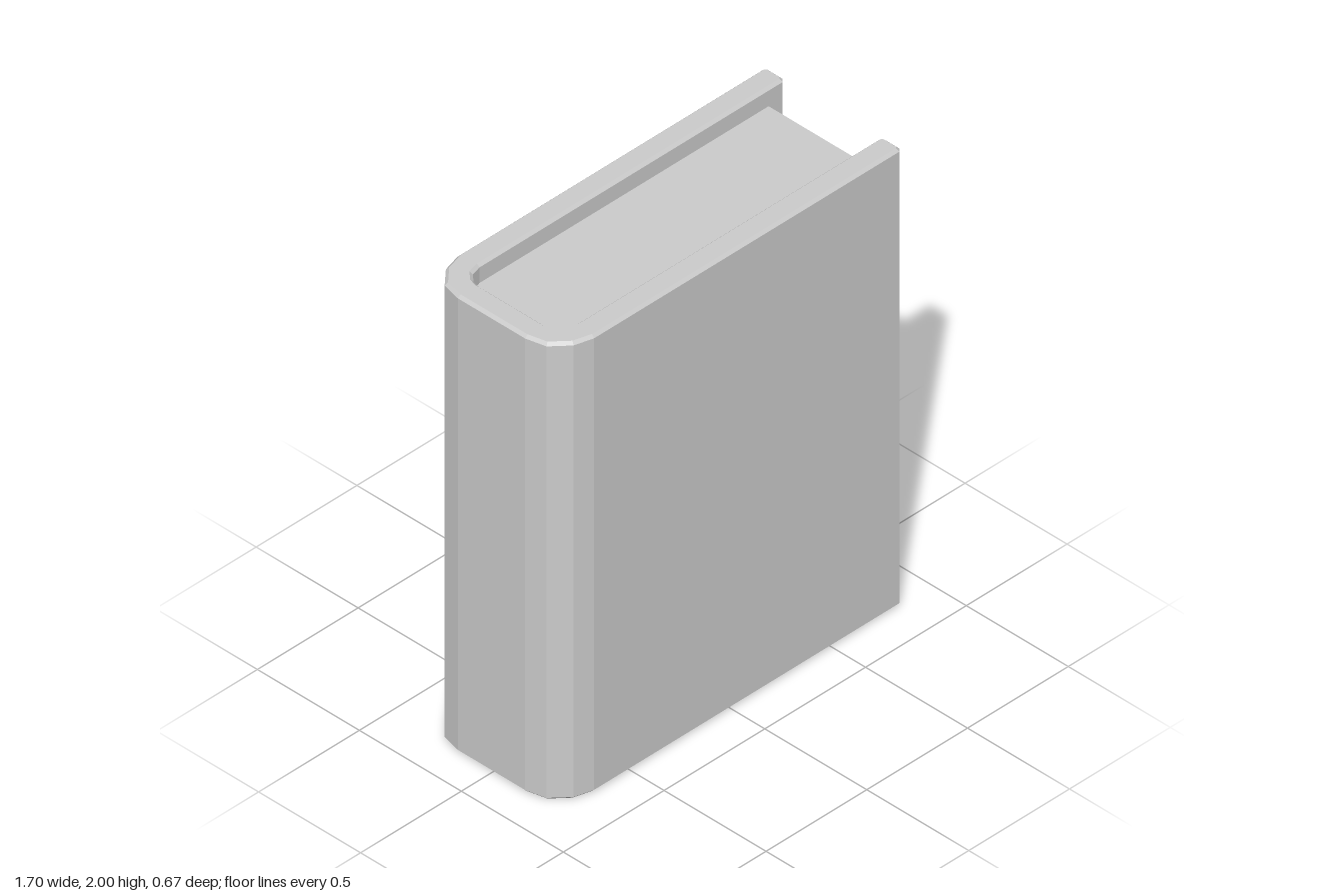
import * as THREE from 'three';

export function createModel() {
  const book = new THREE.Group();
  book.name = 'book';
  const material = new THREE.MeshStandardMaterial({ color: 0xcccccc, flatShading: true });

  // Cover: U-shaped section with a faceted spine, swept up the height.
  // Half of the outline, from the middle of the spine to the fore edge and back.
  const half = [
    [-0.85, 0.165], [-0.83, 0.25], [-0.76, 0.313], [-0.68, 0.335],
    [0.835, 0.335], [0.848, 0.322], [0.848, 0.25], [0.835, 0.237],
    [-0.67, 0.237], [-0.715, 0.225], [-0.742, 0.195], [-0.752, 0.165],
  ];
  const mirrored = half.map(([x, z]) => [x, -z]).reverse();
  const outline = [...half, ...mirrored].map(([x, z]) => new THREE.Vector2(x, z));
  const bevel = 0.012;
  const coverGeometry = new THREE.ExtrudeGeometry(new THREE.Shape(outline), {
    depth: 2 - 2 * bevel,
    bevelEnabled: true,
    bevelThickness: bevel,
    bevelSize: bevel,
    bevelOffset: -bevel,
    bevelSegments: 1,
  });
  coverGeometry.rotateX(-Math.PI / 2).translate(0, bevel, 0);
  const cover = new THREE.Mesh(coverGeometry, material);
  cover.name = 'cover';
  book.add(cover);

  // Page block: recessed at top, bottom and fore edge, sides tucked into the cover.
  const pages = new THREE.Mesh(new THREE.BoxGeometry(1.525, 1.837, 0.484), material);
  pages.name = 'pages';
  pages.position.set(0.0025, 1.0015, 0);
  book.add(pages);

  return book;
}
